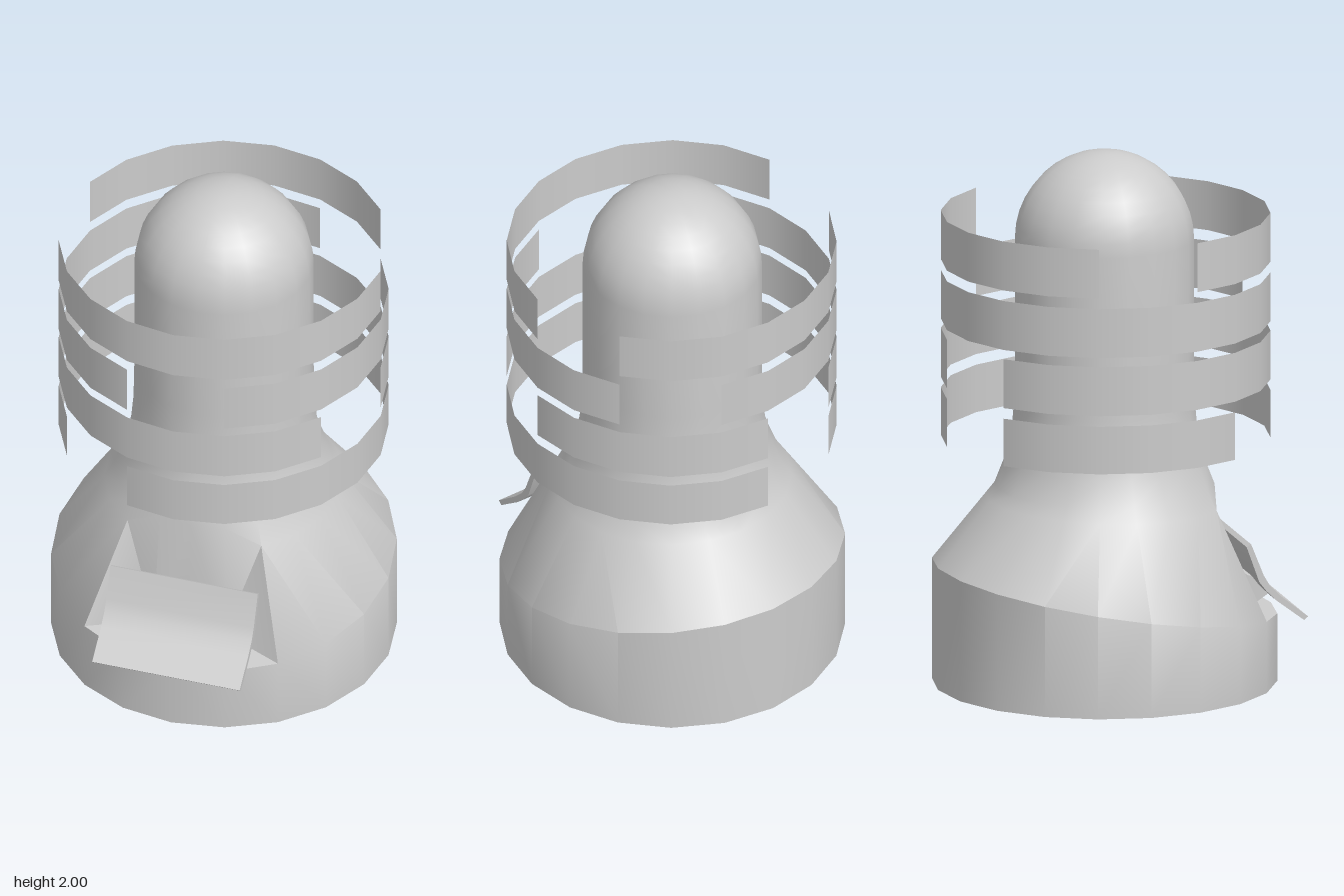
import * as THREE from 'three';
import { toCreasedNormals } from 'three/addons/utils/BufferGeometryUtils.js';

const SIDES = 20;
const AXIS_Z = -0.033;
const BASE_R = 0.636;
const rad = THREE.MathUtils.degToRad;
const grey = new THREE.MeshStandardMaterial({ color: 0xcccccc });
const greyThin = new THREE.MeshStandardMaterial({ color: 0xcccccc, side: THREE.DoubleSide });

function addMesh(group, name, geometry, material = grey) {
  const mesh = new THREE.Mesh(geometry, material);
  mesh.name = name;
  group.add(mesh);
  return mesh;
}

// The base rim lies in a plane that dips towards the front.
const rimHeight = (angle, r) => 0.355 - 0.105 * Math.cos(angle) * r / BASE_R;

// Profile of one column of the body; the three front columns are cut into a recess.
function bodyColumn(j) {
  const angle = j * 2 * Math.PI / SIDES;
  const recessed = Math.min(j % SIDES, SIDES - j % SIDES) <= 1;
  const rimY = rimHeight(angle, BASE_R);
  const shoulder = [0.405, 0.745];
  const cutR = 0.44;
  const t = (BASE_R - cutR) / (BASE_R - shoulder[0]);
  const cutY = recessed ? rimHeight(angle, cutR) : rimY + (shoulder[1] - rimY) * t;
  const profile = [
    [0, 0], [BASE_R, 0], [BASE_R, rimY], [cutR, cutY], shoulder,
    [0.37, 0.835], [0.345, 0.92], [0.333, 1.05], [0.33, 1.2]
  ];
  // Domed top
  for (let i = 0; i <= 10; i++) {
    const a = i * Math.PI / 20;
    profile.push([i === 10 ? 0 : 0.33 * Math.cos(a), 1.67 + 0.33 * Math.sin(a)]);
  }
  return profile.map(([r, y]) =>
    new THREE.Vector3(r * Math.sin(angle), y, r * Math.cos(angle) + AXIS_Z));
}

function bodyGeometry() {
  const positions = [];
  const tri = (a, b, c) => {
    const n = b.clone().sub(a).cross(c.clone().sub(a));
    if (n.length() > 1e-8) for (const p of [a, b, c]) positions.push(p.x, p.y, p.z);
  };
  for (let j = 0; j < SIDES; j++) {
    const left = bodyColumn(j), right = bodyColumn((j + 1) % SIDES);
    for (let i = 0; i < left.length - 1; i++) {
      const a = left[i], b = right[i], c = right[i + 1], d = left[i + 1];
      // Mirrored diagonals keep the recess cheeks symmetrical
      if (j < SIDES / 2) { tri(a, b, d); tri(b, c, d); }
      else { tri(a, b, c); tri(a, c, d); }
    }
  }
  const geometry = new THREE.BufferGeometry();
  geometry.setAttribute('position', new THREE.Float32BufferAttribute(positions, 3));
  return toCreasedNormals(geometry, 0.6);
}

// Side outline as [z, y] points, extruded across x.
function extrudeAcross(points, width) {
  const shape = new THREE.Shape(points.map(([z, y]) => new THREE.Vector2(z, y)));
  const geometry = new THREE.ExtrudeGeometry(shape, { depth: width, bevelEnabled: false });
  geometry.rotateY(-Math.PI / 2);
  geometry.translate(width / 2, 0, 0);
  return toCreasedNormals(geometry, 0.6);
}

// Thin open arc; angles in degrees from the front towards +x.
function bandArc(y0, y1, from, to) {
  const segments = Math.round((to - from) / 18);
  const geometry = new THREE.CylinderGeometry(
    0.607, 0.607, y1 - y0, segments, 1, true, rad(from), rad(to - from));
  geometry.translate(0, (y0 + y1) / 2, AXIS_Z + 0.004);
  return geometry;
}

export function createModel() {
  const model = new THREE.Group();
  model.name = 'bandedDome';

  addMesh(model, 'body', bodyGeometry());

  // Floating broken rings around the neck
  const bands = [
    { y: [0.92, 1.10], arcs: [[-18, 180], [216, 306]] },
    { y: [1.14, 1.325], arcs: [[90, 180], [216, 414]] },
    { y: [1.36, 1.545], arcs: [[18, 126], [162, 342]] },
    { y: [1.585, 1.77], arcs: [[-72, 90], [126, 252]] }
  ];
  bands.forEach(({ y, arcs }, i) => {
    const ring = new THREE.Group();
    ring.name = 'band' + (i + 1);
    for (const [from, to] of arcs) {
      addMesh(ring, 'bandArc', bandArc(y[0], y[1], from, to), greyThin);
    }
    model.add(ring);
  });

  // Bent plate in front of the recess, and the block that carries it
  const chute = new THREE.Group();
  chute.name = 'chute';
  addMesh(chute, 'chutePlate', extrudeAcross([
    [0.43, 0.535], [0.478, 0.4], [0.505, 0.365], [0.545, 0.325], [0.65, 0.245],
    [0.665, 0.258], [0.56, 0.342], [0.518, 0.385], [0.495, 0.425], [0.447, 0.545]
  ], 0.57));
  addMesh(chute, 'chuteMount', extrudeAcross([
    [0.38, 0.34], [0.42, 0.25], [0.54, 0.33], [0.48, 0.4], [0.46, 0.405]
  ], 0.37));
  model.add(chute);

  return model;
}
